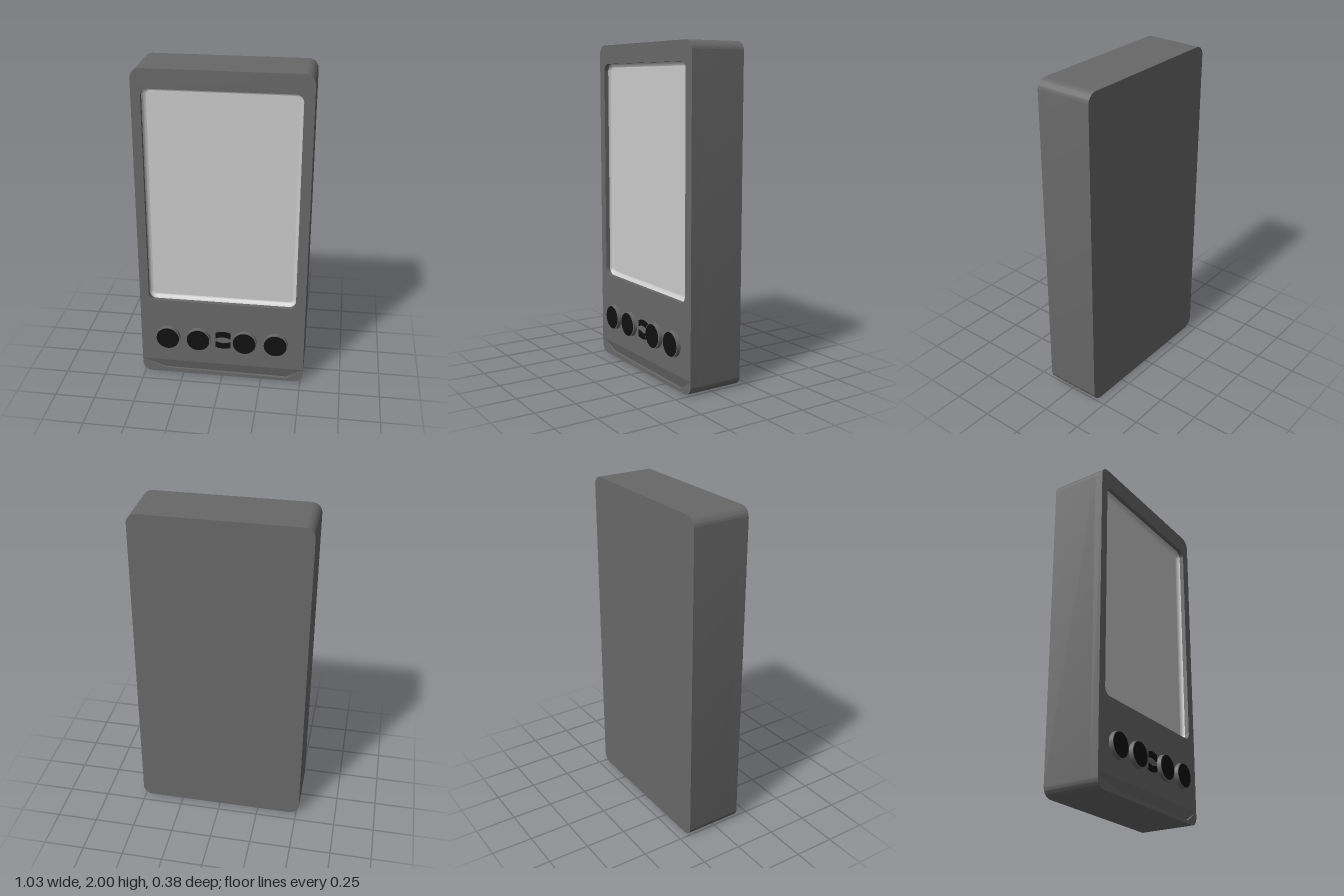
import * as THREE from 'three';
import { toCreasedNormals } from 'three/addons/utils/BufferGeometryUtils.js';

const FRONT = 0.16, BACK = -0.19, RECESS = 0.05;
const mat = (color, side = THREE.FrontSide) => new THREE.MeshStandardMaterial({ color, side });

// Rounded rectangle path, corner radius r
function roundRect(P, x0, y0, x1, y1, r) {
  const p = new P();
  p.moveTo(x0 + r, y0);
  p.lineTo(x1 - r, y0);
  p.absarc(x1 - r, y0 + r, r, -Math.PI / 2, 0);
  p.lineTo(x1, y1 - r);
  p.absarc(x1 - r, y1 - r, r, 0, Math.PI / 2);
  p.lineTo(x0 + r, y1);
  p.absarc(x0 + r, y1 - r, r, Math.PI / 2, Math.PI);
  p.lineTo(x0, y0 + r);
  p.absarc(x0 + r, y0 + r, r, Math.PI, Math.PI * 1.5);
  return p;
}

const extrude = (shape, depth, z) => toCreasedNormals(
  new THREE.ExtrudeGeometry(shape, { depth, bevelEnabled: false, curveSegments: 12 }).translate(0, 0, z), 0.6);

// Screen opening outline, shrunk by an inset
const opening = (P, inset) =>
  roundRect(P, -0.46 + inset, 0.53 + inset, 0.456 - inset, 1.885 - inset, 0.045 - inset);

// Surface through screen outlines given as [inset, z]
function loftOpening(rings) {
  const pos = [], idx = [];
  const n = opening(THREE.Path, 0).getPoints(8).length;
  for (const [inset, z] of rings)
    for (const p of opening(THREE.Path, inset).getPoints(8)) pos.push(p.x, p.y, z);
  for (let j = 0; j < rings.length - 1; j++)
    for (let i = 0; i < n; i++) {
      const a = j * n + i, b = j * n + (i + 1) % n;
      idx.push(a, b, a + n, b, b + n, a + n);
    }
  const g = new THREE.BufferGeometry();
  g.setAttribute('position', new THREE.Float32BufferAttribute(pos, 3));
  g.setIndex(idx);
  return toCreasedNormals(g, 0.7);
}

export function createModel() {
  const group = new THREE.Group();
  const shell = mat(0x686868), black = mat(0x101010);
  const add = (name, geo, material, parent = group) => {
    const m = new THREE.Mesh(geo, material);
    m.name = name;
    parent.add(m);
    return m;
  };

  // Solid rear of the case
  const outline = () => roundRect(THREE.Shape, -0.516, 0, 0.516, 2, 0.06);
  add('caseBack', extrude(outline(), FRONT - RECESS - BACK, BACK), shell);

  // Front frame, open at the screen and at the bottom notch
  const notch = [[-0.514, 0.09], [-0.37, 0.03], [0.41, 0.02], [0.514, 0.09]]
    .map(([x, y]) => new THREE.Vector2(x, y));
  const frame = outline();
  frame.holes.push(opening(THREE.Path, 0), new THREE.Path(notch));
  add('frontFrame', extrude(frame, RECESS, FRONT - RECESS), shell);

  // Notch floor, sloping inwards towards the bottom
  const floor = new THREE.ShapeGeometry(new THREE.Shape(notch));
  const fp = floor.attributes.position;
  for (let i = 0; i < fp.count; i++) fp.setZ(i, FRONT - (0.09 - fp.getY(i)) * 0.25);
  floor.computeVertexNormals();
  add('notchFloor', floor, shell);

  // Screen panel with a filleted rim
  const z = FRONT - RECESS + 0.001;
  add('screenRim', loftOpening([[0, z + 0.022], [0.003, z + 0.012], [0.01, z + 0.004], [0.022, z]]),
    mat(0xcccccc, THREE.DoubleSide));
  add('screen', new THREE.ShapeGeometry(opening(THREE.Shape, 0.022), 8).translate(0, 0, z), mat(0xcccccc));

  // Four round buttons with dark faces
  for (const x of [-0.343, -0.149, 0.144, 0.339]) {
    const button = new THREE.Group();
    button.name = 'button';
    button.position.set(x, 0.27, 0);
    add('buttonBody', new THREE.CylinderGeometry(0.077, 0.077, 0.035, 40)
      .rotateX(Math.PI / 2).translate(0, 0, FRONT + 0.0085), shell, button);
    add('buttonFace', new THREE.CircleGeometry(0.072, 40).translate(0, 0, FRONT + 0.027), black, button);
    group.add(button);
  }

  // Pair of arched rocker keys between the buttons
  for (const s of [1, -1]) {
    const key = new THREE.Shape();
    key.moveTo(-0.047, 0.012 * s);
    key.quadraticCurveTo(0, 0.036 * s, 0.047, 0.012 * s);
    key.lineTo(0.047, 0.05 * s);
    key.quadraticCurveTo(0, 0.068 * s, -0.047, 0.05 * s);
    key.closePath();
    add(s > 0 ? 'upperKey' : 'lowerKey', extrude(key, 0.013, FRONT - 0.004), black).position.set(0.008, 0.272, 0);
  }
  return group;
}
